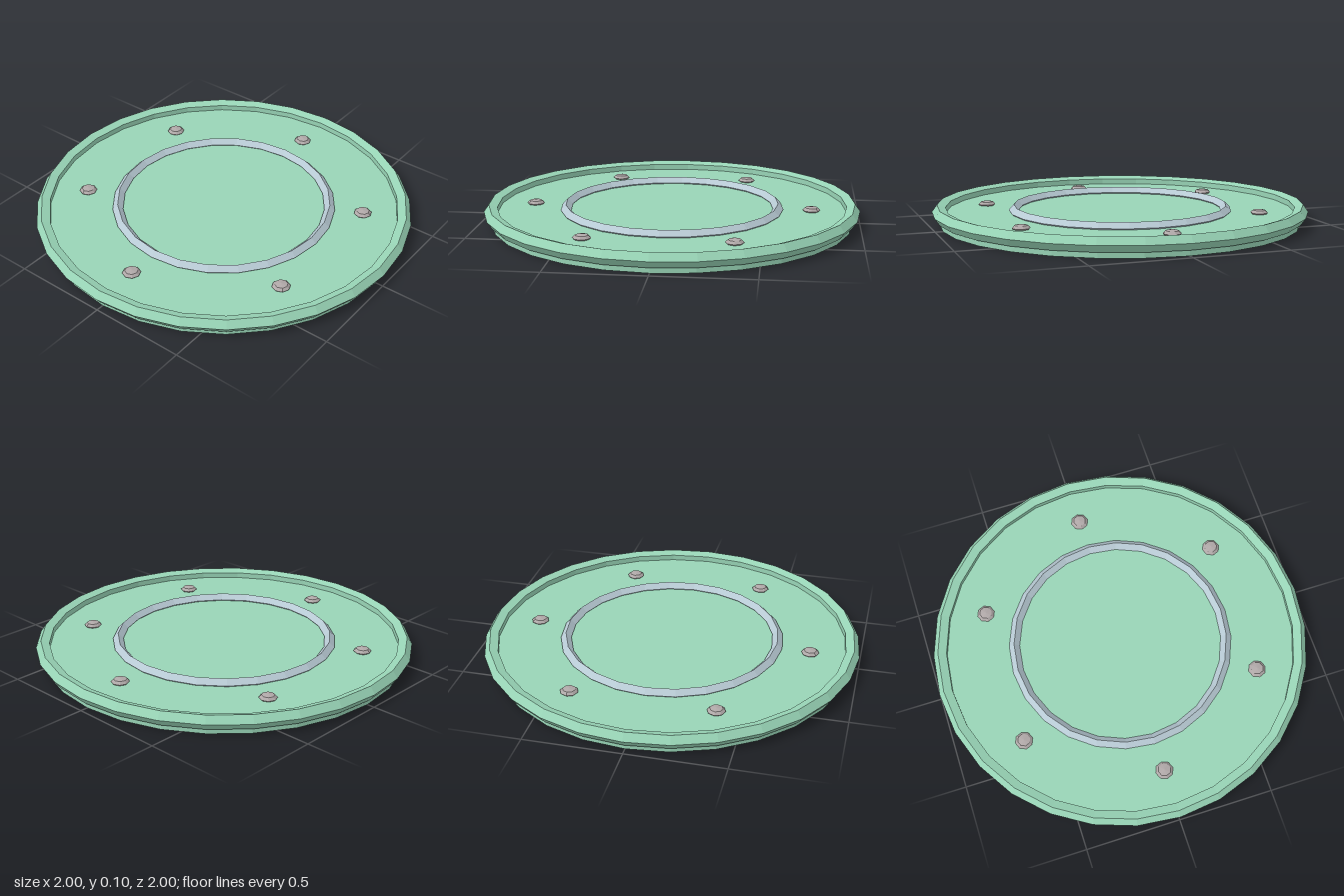
import * as THREE from 'three';

const mat = (color) => new THREE.MeshStandardMaterial({ color, flatShading: true });

export function createModel() {
  const model = new THREE.Group();
  const green = mat(0x98d4b6);
  const steel = mat(0xb8cad4);
  const boltGrey = mat(0xb0a8a8);

  const add = (name, geometry, material, x, y, z) => {
    const mesh = new THREE.Mesh(geometry, material);
    mesh.name = name;
    mesh.position.set(x, y, z);
    model.add(mesh);
  };
  const ring = (radius, tube, sides, segments) =>
    new THREE.TorusGeometry(radius, tube, sides, segments).rotateX(-Math.PI / 2);

  // Flat base plate
  add('plate', new THREE.CylinderGeometry(0.96, 0.96, 0.06, 28), green, 0, 0.03, 0);

  // Raised five-sided outer rim and four-sided inner ring
  add('outerRim', ring(0.9605, 0.0395, 5, 28), green, 0, 0.067, 0);
  add('innerRing', ring(0.568, 0.028, 4, 24), steel, 0, 0.067, 0);

  // Six flattened bolt heads
  const bolt = new THREE.SphereGeometry(0.047, 8, 4).scale(1, 0.4, 1);
  for (let i = 0; i < 6; i++) {
    const a = (i * Math.PI) / 3;
    add('bolt', bolt, boltGrey, 0.744 * Math.cos(a), 0.067, 0.744 * Math.sin(a));
  }
  return model;
}
